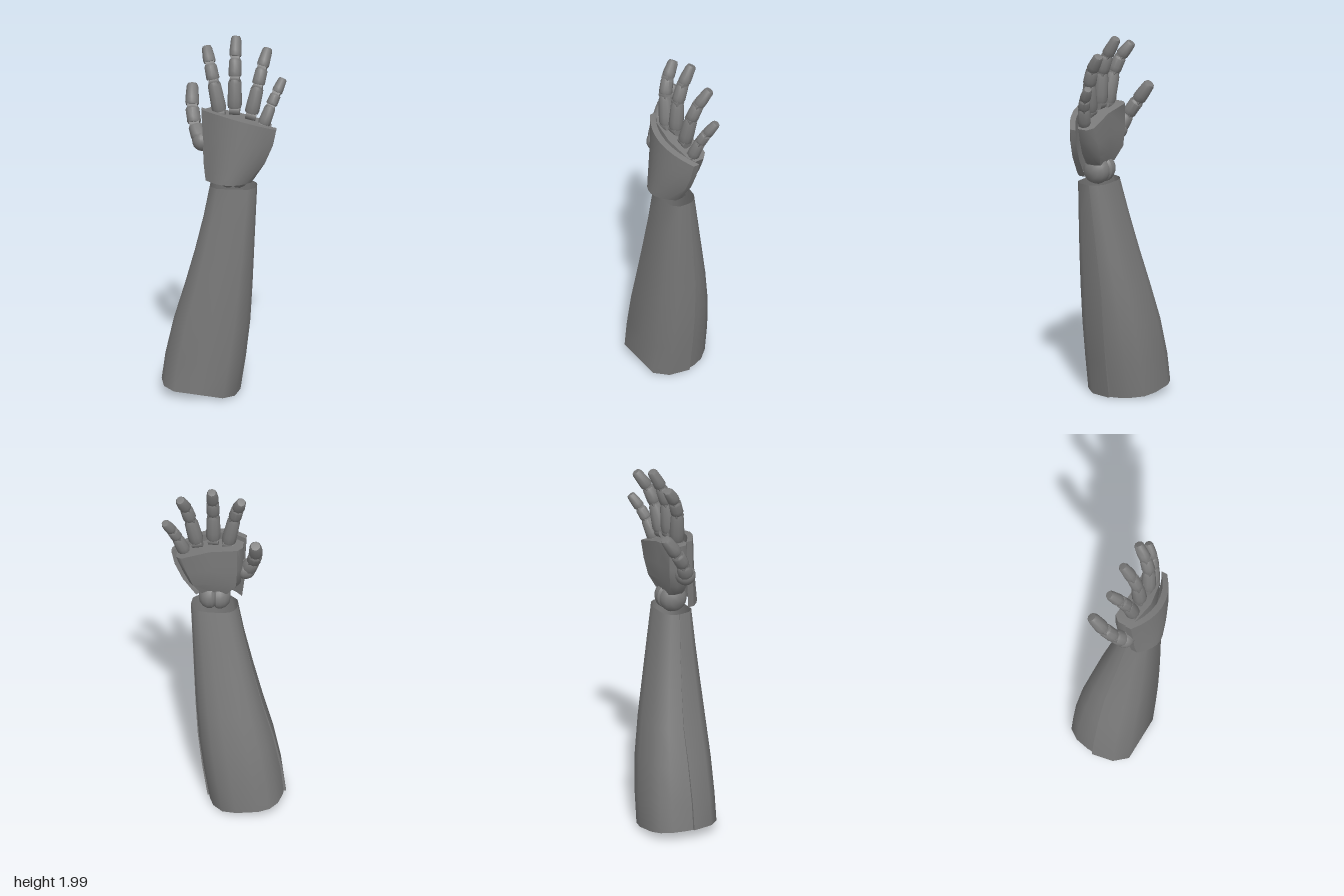
import * as THREE from 'three';
import { toCreasedNormals } from 'three/addons/utils/BufferGeometryUtils.js';

const material = new THREE.MeshStandardMaterial({ color: 0x7a7a7a, side: THREE.DoubleSide });
const V = (x, y, z) => new THREE.Vector3(x, y, z);
const { lerp, clamp } = THREE.MathUtils;

function add(parent, name, geometry, crease = 0.6) {
  const mesh = new THREE.Mesh(toCreasedNormals(geometry, crease), material);
  mesh.name = name;
  parent.add(mesh);
  return mesh;
}

// Skin a stack of equal-length cross-sections; closed ones get both ends capped
function loft(rings, closed) {
  const n = rings[0].length, index = [];
  const quad = (a, b, c, d) => index.push(a, b, c, a, c, d);
  for (let r = 0; r < rings.length - 1; r++) {
    for (let i = 0; i < (closed ? n : n - 1); i++) {
      const j = (i + 1) % n;
      quad(r * n + i, r * n + j, (r + 1) * n + j, (r + 1) * n + i);
    }
  }
  if (closed) {
    const top = (rings.length - 1) * n;
    for (let i = 0; i < n / 2 - 1; i++) {
      quad(i, n - 1 - i, n - 2 - i, i + 1);
      quad(top + i, top + i + 1, top + n - 2 - i, top + n - 1 - i);
    }
  }
  const geometry = new THREE.BufferGeometry().setFromPoints(rings.flat());
  geometry.setIndex(index);
  geometry.computeVertexNormals();
  return geometry;
}

// Two open half shells; the step between them fades out towards the wrist
function buildForearm() {
  const group = new THREE.Group();
  group.name = 'forearm';
  // y, left x, right x, front z, back z, seam z
  const rows = [
    [0, -0.335, 0.085, 0.167, -0.203, -0.015], [0.2, -0.315, 0.115, 0.167, -0.197, -0.014],
    [0.4, -0.27, 0.138, 0.166, -0.176, -0.012], [0.6, -0.21, 0.15, 0.163, -0.14, -0.008],
    [0.8, -0.155, 0.16, 0.158, -0.098, 0.012], [1.0, -0.107, 0.17, 0.152, -0.058, 0.032],
    [1.19, -0.07, 0.18, 0.146, -0.02, 0.05],
  ];
  const front = [[-0.93, 0], [-1, 0], [-0.9, 0.64], [-0.62, 1], [0, 1], [0.62, 1], [0.9, 0.64], [1, 0], [0.93, 0]];
  const back = [[-0.94, 0.06], [-0.92, -0.2], [-0.83, -0.6], [-0.64, -0.88], [-0.36, -1], [0.2, -1], [0.56, -0.88], [0.81, -0.55], [0.92, -0.2], [0.94, 0.06]];
  const shell = (profile) => loft(rows.map(([y, xl, xr, zf, zb, zs], r) => profile.map(([u, v]) => {
    const x = lerp(xl, xr, (clamp(u * (1 + 0.06 * Math.min(1, y / 0.8)), -1, 1) + 1) / 2);
    const slant = r === 0 ? 0.055 - 0.119 * (x + 0.335) : 0;
    return V(x, y + slant, v >= 0 ? lerp(zs, zf, v) : lerp(zs, zb, -v));
  })), false);
  add(group, 'frontForearmShell', shell(front), 1.25);
  add(group, 'backForearmShell', shell(back), 1.25);
  return group;
}

// Double-lobed ball that joins forearm and hand
function buildWrist() {
  const profile = [[0, -0.085], [0.04, -0.08], [0.064, -0.06], [0.075, -0.035], [0.073, -0.012],
    [0.062, 0], [0.073, 0.012], [0.075, 0.035], [0.064, 0.06], [0.04, 0.08], [0, 0.085]];
  const geometry = new THREE.LatheGeometry(profile.map(([r, y]) => new THREE.Vector2(r, y)), 24);
  geometry.rotateZ(-Math.PI / 2).translate(0.053, 1.25, 0.065);
  const group = new THREE.Group();
  group.name = 'wrist';
  add(group, 'wristJoint', geometry);
  return group;
}

function buildPalm() {
  const group = new THREE.Group();
  group.name = 'palm';

  // Curved guard over the back of the hand
  const rows = [ // left x, right x, left y, right y, edge z, crown z
    [-0.09, 0.155, 1.23, 1.225, 0.125, 0.2], [-0.102, 0.225, 1.33, 1.33, 0.115, 0.196],
    [-0.106, 0.268, 1.47, 1.43, 0.108, 0.188], [-0.115, 0.285, 1.62, 1.515, 0.1, 0.18],
  ];
  const steps = 8;
  const guard = rows.map(([xl, xr, yl, yr, ze, zc]) => {
    const arc = (depth) => Array.from({ length: steps + 1 }, (_, i) => {
      const s = i / steps, bulge = 1 - (2 * s - 1) ** 2;
      return V(lerp(xl, xr, s), lerp(yl, yr, s ** 1.8), lerp(ze, zc, bulge) - depth);
    });
    return [...arc(0), ...arc(0.035).reverse()];
  });
  add(group, 'handGuard', loft(guard, true), 0.7);

  // Inner palm block
  const levels = [ // left x, right x, left y, right y, back z, front z
    [-0.03, 0.135, 1.29, 1.29, 0.015, 0.12], [-0.088, 0.185, 1.36, 1.35, -0.008, 0.12],
    [-0.098, 0.222, 1.46, 1.43, -0.015, 0.115], [-0.102, 0.255, 1.595, 1.515, -0.015, 0.105],
  ];
  const outline = [[0, 0.25], [0.08, 0], [0.5, 0.06], [0.92, 0], [1, 0.25],
    [1, 0.7], [0.9, 0.9], [0.5, 1.1], [0.1, 0.9], [0, 0.7]];
  add(group, 'palmBlock', loft(levels.map(([xl, xr, yl, yr, zb, zf]) =>
    outline.map(([u, v]) => V(lerp(xl, xr, u), lerp(yl, yr, u ** 1.8), lerp(zb, zf, v)))), true), 0.9);
  return group;
}

// One tapered bone with bevelled ends, leaving a gap for the hinge below it
function addBone(parent, name, a, b, ra, rb) {
  const dir = b.clone().sub(a), len = dir.length();
  const profile = [[0, 0.07], [ra * 0.88, 0.07], [ra, 0.16], [ra * 0.98, 0.35], [rb, 0.86], [rb * 0.78, 0.98], [0, 1]];
  const geometry = new THREE.LatheGeometry(profile.map(([r, t]) => new THREE.Vector2(r, t * len)), 10);
  const mesh = add(parent, name, geometry, 0.8);
  mesh.position.copy(a);
  mesh.quaternion.setFromUnitVectors(V(0, 1, 0), dir.normalize());
}

// A chain of bones with a hinge pin at every joint
function buildFinger(name, points, radii) {
  const group = new THREE.Group();
  group.name = name;
  const joints = points.map((p) => V(...p));
  const bones = ['proximalBone', 'middleBone', 'distalBone'];
  for (let i = 0; i < joints.length - 1; i++) {
    addBone(group, bones[i], joints[i], joints[i + 1], radii[i], radii[i + 1]);
    const pin = add(group, 'hinge', new THREE.CylinderGeometry(radii[i] * 0.7, radii[i] * 0.7, radii[i] * 1.4, 12));
    const dir = joints[i + 1].clone().sub(joints[i]).normalize();
    const axis = V(1, 0, 0).addScaledVector(dir, -dir.x).normalize();
    pin.position.copy(joints[i]);
    pin.quaternion.setFromUnitVectors(V(0, 1, 0), axis);
  }
  return group;
}

export function createModel() {
  const model = new THREE.Group();
  model.name = 'mechanicalArm';
  model.add(buildForearm(), buildWrist(), buildPalm());

  const radii = [0.04, 0.036, 0.034, 0.028];
  const fingers = {
    indexFinger: [[-0.018, 1.59, 0.062], [-0.054, 1.765, 0.045], [-0.075, 1.85, 0.015], [-0.098, 1.93, -0.042]],
    middleFinger: [[0.06, 1.61, 0.058], [0.06, 1.785, 0.045], [0.06, 1.885, 0.012], [0.06, 1.989, -0.047]],
    ringFinger: [[0.148, 1.585, 0.062], [0.183, 1.745, 0.045], [0.203, 1.835, 0.015], [0.23, 1.927, -0.045]],
    littleFinger: [[0.212, 1.525, 0.058], [0.252, 1.63, 0.035], [0.278, 1.69, 0.012], [0.312, 1.763, -0.03]],
  };
  for (const [name, points] of Object.entries(fingers)) {
    const size = name === 'littleFinger' ? 0.88 : 1;
    model.add(buildFinger(name, points, radii.map((r) => r * size)));
  }

  // Thumb on a ball socket at the side of the palm
  const thumb = buildFinger('thumb',
    [[-0.125, 1.44, 0.055], [-0.157, 1.51, 0.022], [-0.174, 1.59, -0.03], [-0.178, 1.695, -0.105]],
    [0.044, 0.038, 0.038, 0.032]);
  const socket = add(thumb, 'thumbSocket', new THREE.SphereGeometry(0.055, 18, 12));
  socket.position.set(-0.112, 1.43, 0.06);
  model.add(thumb);
  return model;
}
